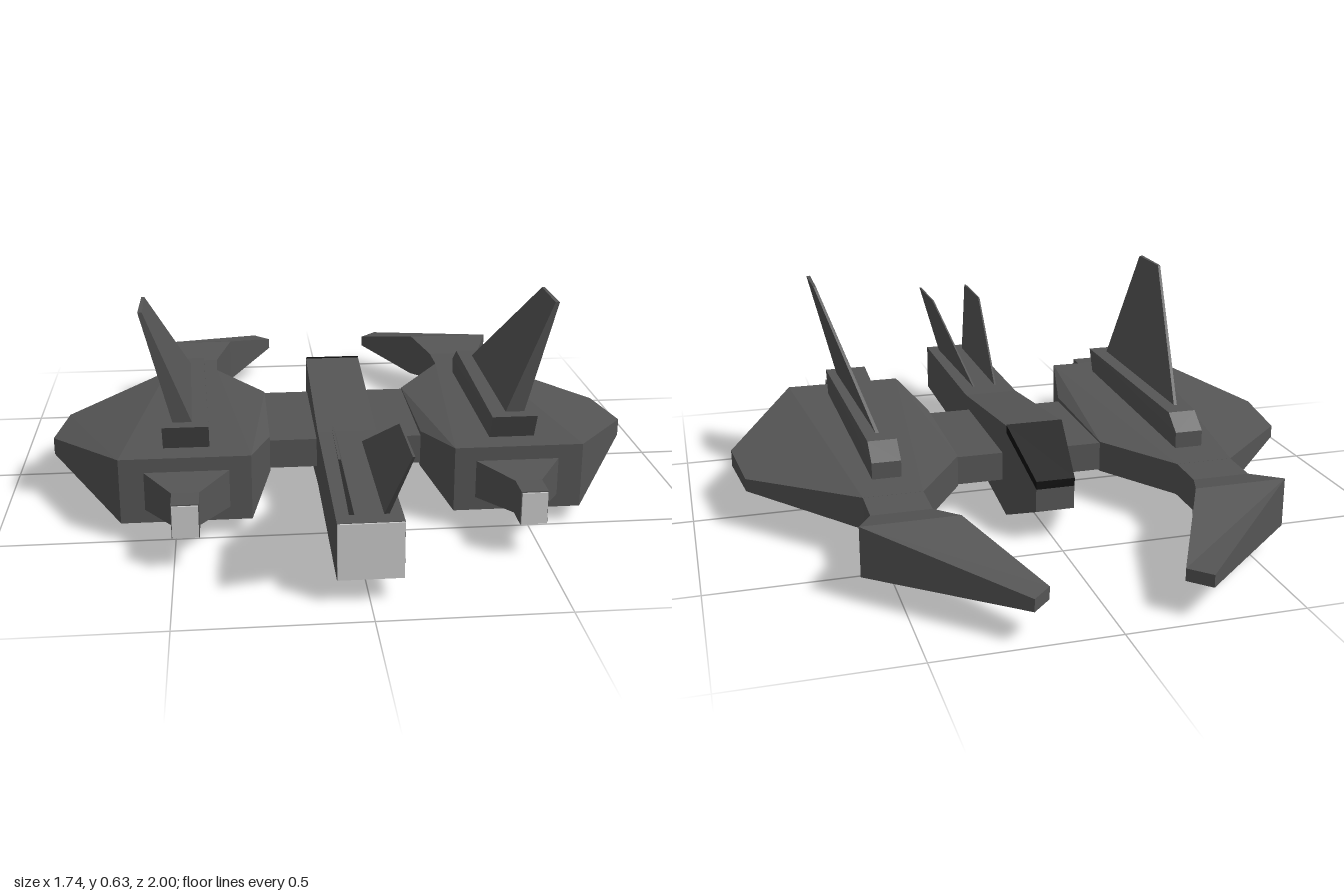
import * as THREE from 'three';
import { ConvexGeometry } from 'three/addons/geometries/ConvexGeometry.js';

const paint = (color) => new THREE.MeshStandardMaterial({ color, flatShading: true });
const hullMat = paint(0x555555);
const lightMat = paint(0xcccccc);
const glassMat = paint(0x111111);

function addMesh(parent, name, geometry, material = hullMat) {
  const mesh = new THREE.Mesh(geometry, material);
  mesh.name = name;
  parent.add(mesh);
  return mesh;
}

// Convex solid around corner points; side = -1 mirrors it in x.
const solid = (points, side = 1) =>
  new ConvexGeometry(points.map(([x, y, z]) => new THREE.Vector3(x * side, y, z)));

// Skin over four-sided sections [x0, x1, yLow, yHigh, z0, z1 = z0], ordered from +z to -z.
function loft(sections, side = 1) {
  const rings = sections.map(([x0, x1, lo, hi, z0, z1 = z0]) =>
    [[x0, lo, z0], [x1, lo, z1], [x1, hi, z1], [x0, hi, z0]].map(([x, y, z]) => [x * side, y, z]));
  const pos = [];
  const quad = (a, b, c, d) => {
    const order = side > 0 ? [a, b, c, a, c, d] : [a, c, b, a, d, c];
    order.forEach((p) => pos.push(...p));
  };
  quad(...rings[0]);
  for (let i = 0; i + 1 < rings.length; i++) {
    const f = rings[i], r = rings[i + 1];
    for (let k = 0; k < 4; k++) {
      const n = (k + 1) % 4;
      quad(f[k], r[k], r[n], f[n]);
    }
  }
  quad(...rings[rings.length - 1].slice().reverse());
  const g = new THREE.BufferGeometry();
  g.setAttribute('position', new THREE.Float32BufferAttribute(pos, 3));
  g.computeVertexNormals();
  return g;
}

// Upper and lower corner at one place of the plan outline.
const post = (x, z, lo, hi) => [[x, lo, z], [x, hi, z]];

// Thin blade: each corner [x, y, z, thickness] is doubled across x.
const blade = (corners, side) =>
  solid(corners.flatMap(([x, y, z, t]) => [[x - t / 2, y, z], [x + t / 2, y, z]]), side);

function createPod(side) {
  const pod = new THREE.Group();
  pod.name = side > 0 ? 'leftPod' : 'rightPod';

  // Wide bevelled wing body
  addMesh(pod, 'wingBody', solid([
    ...post(0.285, 0.49, 0.05, 0.24), ...post(0.65, 0.49, 0.05, 0.24),
    ...post(0.87, 0.125, 0.117, 0.168), ...post(0.845, -0.1, 0.12, 0.158),
    ...post(0.55, -0.41, 0.095, 0.19), ...post(0.38, -0.41, 0.095, 0.19),
    ...post(0.225, -0.17, 0.095, 0.19), ...post(0.225, 0.25, 0.09, 0.2),
  ], side));

  // Rear prong curving inward
  addMesh(pod, 'rearProng', loft([
    [0.38, 0.55, 0.095, 0.19, -0.4],
    [0.38, 0.55, 0.095, 0.187, -0.53],
    [0.33, 0.6, 0.073, 0.215, -0.655],
    [0.18, 0.235, 0.095, 0.13, -0.945, -1],
  ], side));

  // Front barrel with pale end
  addMesh(pod, 'barrel', loft([
    [0.428, 0.502, 0.098, 0.193, 0.695],
    [0.428, 0.502, 0.098, 0.193, 0.62],
    [0.34, 0.588, 0.088, 0.2, 0.48],
  ], side));
  addMesh(pod, 'barrelEnd', loft([
    [0.43, 0.5, 0.1, 0.19, 0.7],
    [0.43, 0.5, 0.1, 0.19, 0.69],
  ], side), lightMat);

  // Ridge carrying the fin
  addMesh(pod, 'finBase', solid([
    [0.4, 0.308, 0.435], [0.53, 0.308, 0.435], [0.4, 0.22, 0.395], [0.53, 0.22, 0.395],
    [0.42, 0.29, -0.24], [0.505, 0.29, -0.24], [0.42, 0.19, -0.3], [0.505, 0.19, -0.3],
    [0.42, 0.245, -0.3], [0.505, 0.245, -0.3],
  ], side));

  // Tall fin leaning outward
  addMesh(pod, 'fin', blade([
    [0.472, 0.3, 0.39, 0.055], [0.464, 0.285, -0.19, 0.01],
    [0.575, 0.635, 0.413, 0.012], [0.575, 0.635, 0.25, 0.008],
  ], side));
  return pod;
}

export function createModel() {
  const model = new THREE.Group();
  model.name = 'spacecraft';

  // Central fuselage
  addMesh(model, 'fuselage', loft([
    [-0.086, 0.086, 0.067, 0.222, 0.905],
    [-0.086, 0.086, 0.06, 0.225, 0.29],
    [-0.086, 0.086, 0, 0.287, -0.21],
    [-0.057, 0.057, 0.095, 0.185, -0.425],
  ]));
  addMesh(model, 'fuselageEnd', loft([
    [-0.085, 0.085, 0.068, 0.221, 0.91],
    [-0.085, 0.085, 0.068, 0.221, 0.9],
  ]), lightMat);

  // Dark sloping canopy
  addMesh(model, 'canopy', loft([
    [-0.086, 0.086, 0.265, 0.291, -0.213],
    [-0.057, 0.057, 0.165, 0.189, -0.428],
  ]), glassMat);

  // Beam joining the pods
  const beam = addMesh(model, 'crossBeam', new THREE.BoxGeometry(0.48, 0.087, 0.42));
  beam.position.set(0, 0.143, 0.04);

  for (const side of [1, -1]) {
    model.add(createPod(side));
    // Swept blade above the fuselage end
    addMesh(model, side > 0 ? 'leftBlade' : 'rightBlade', blade([
      [0.037, 0.222, 0.37, 0.006], [0.042, 0.21, 0.85, 0.014],
      [0.088, 0.433, 1, 0.006], [0.086, 0.433, 0.78, 0.005],
    ], side));
  }
  return model;
}
